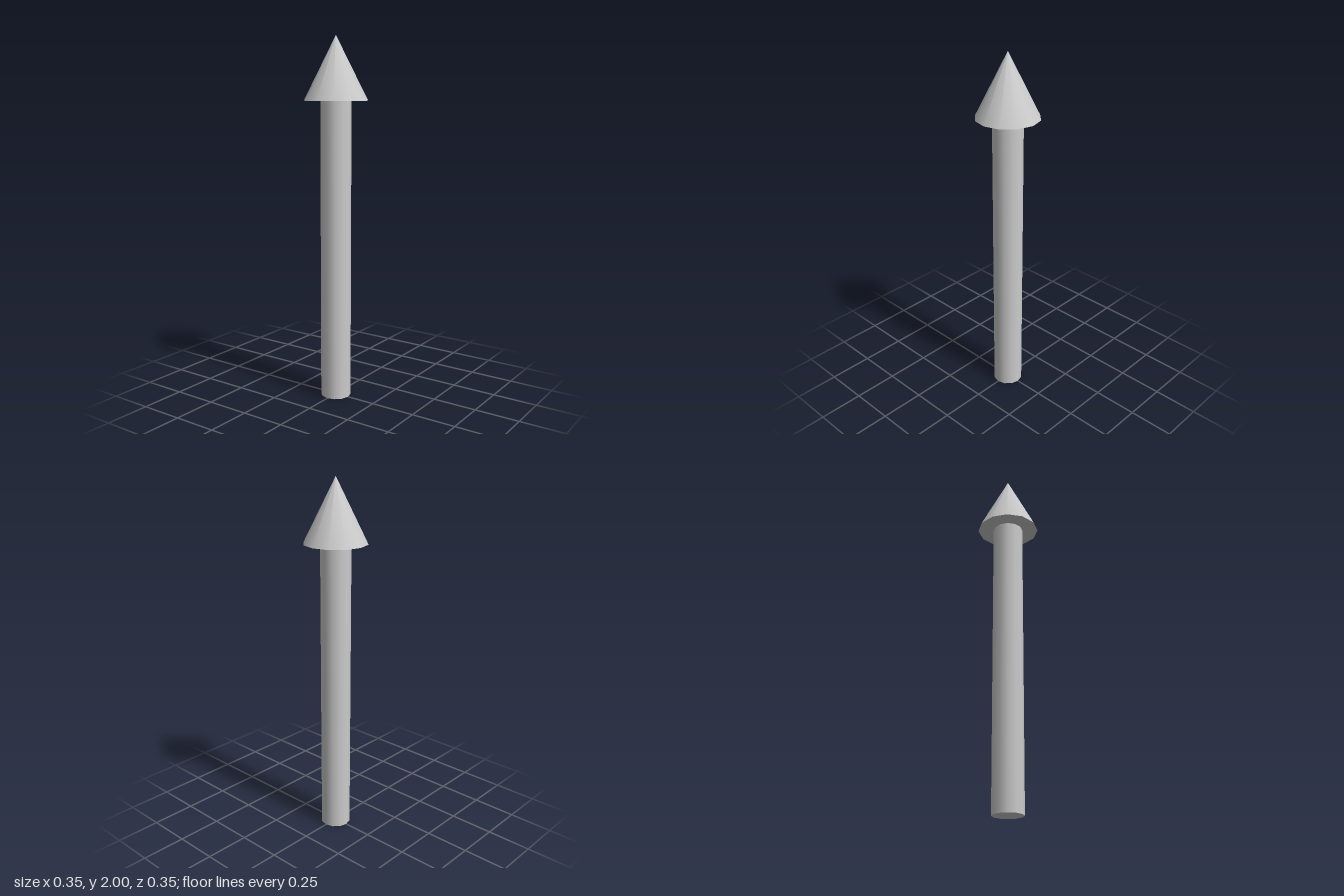
import * as THREE from 'three';

const SIDES = 12;
const HEIGHT = 2;
const HEAD_BASE = 1.657; // where the shaft meets the head

export function createModel() {
  const group = new THREE.Group();
  group.name = 'arrow';
  const material = new THREE.MeshStandardMaterial({ color: 0xcccccc });

  const add = (name, geometry, y) => {
    const mesh = new THREE.Mesh(geometry, material);
    mesh.name = name;
    mesh.position.y = y;
    group.add(mesh);
  };

  // Straight round shaft standing on the ground
  add('shaft', new THREE.CylinderGeometry(0.084, 0.084, HEAD_BASE, SIDES), HEAD_BASE / 2);

  // Pointed head with a closed flat underside
  const headHeight = HEIGHT - HEAD_BASE;
  add('head', new THREE.ConeGeometry(0.173, headHeight, SIDES), HEAD_BASE + headHeight / 2);

  return group;
}
